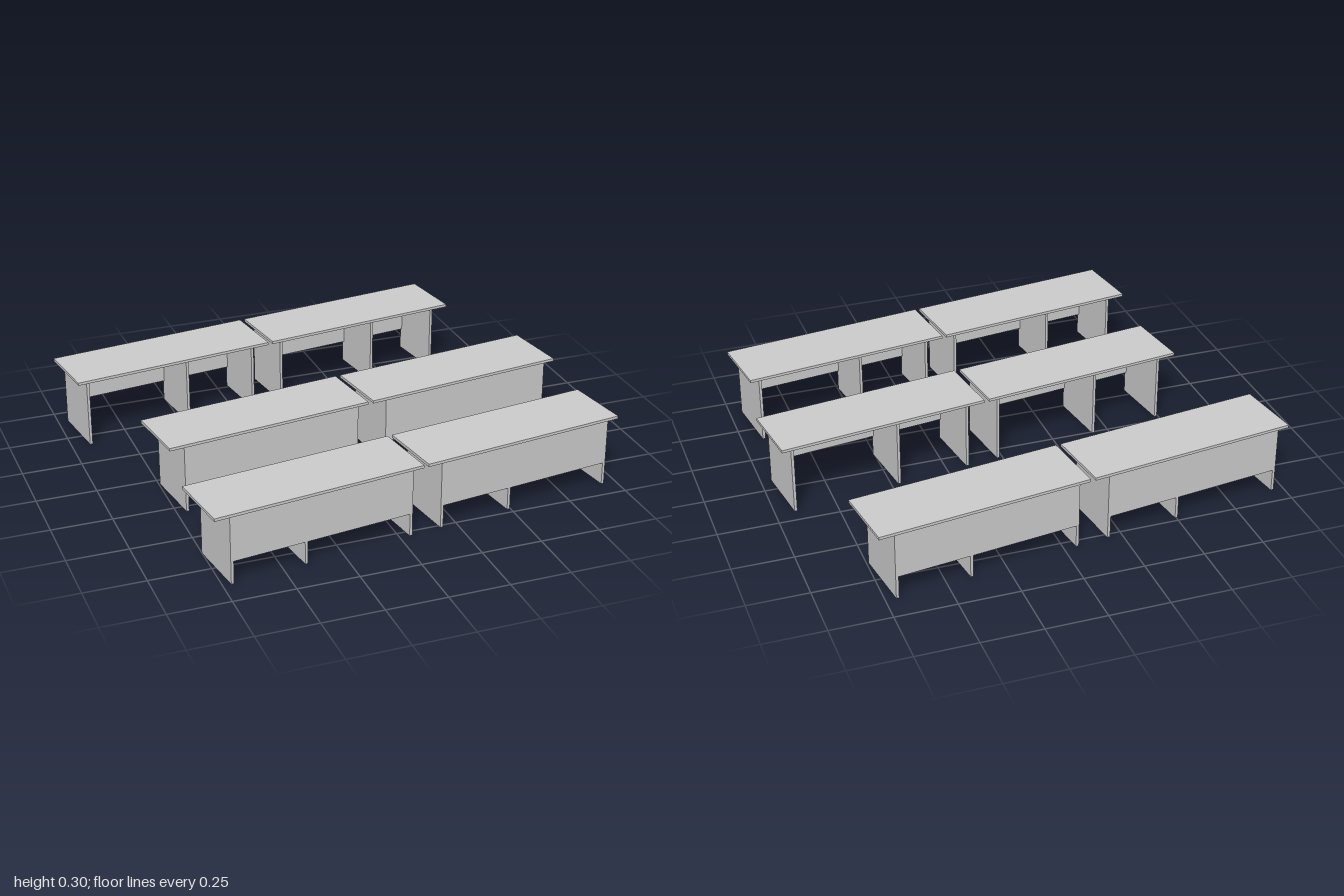
import * as THREE from 'three';

const HEIGHT = 0.3, T = 0.012;          // desk height, board thickness
const LENGTH = 0.883, DEPTH = 0.283;    // table top
const LEG_DEPTH = 0.26;
const LEG_X = [-0.369, -0.06, 0.395];   // left, middle and right leg boards
const ANGLE = THREE.MathUtils.degToRad(7.6);

const material = new THREE.MeshStandardMaterial({ color: 0xcccccc, flatShading: true });

function board(name, w, h, d, x, y, z) {
  const mesh = new THREE.Mesh(new THREE.BoxGeometry(w, h, d), material);
  mesh.name = name;
  mesh.position.set(x, y, z);
  return mesh;
}

// One desk: top, three board legs, and privacy panels between the legs on +z
function createDesk() {
  const desk = new THREE.Group();
  desk.name = 'desk';
  desk.add(board('tableTop', LENGTH, T, DEPTH, 0, HEIGHT - T / 2, 0));

  const legHeight = HEIGHT - T;
  for (const x of LEG_X) desk.add(board('leg', T, legHeight, LEG_DEPTH, x, legHeight / 2, 0));

  const panelBottom = 0.095, panelHeight = legHeight - panelBottom;
  for (let i = 0; i < LEG_X.length - 1; i++) {
    const width = LEG_X[i + 1] - LEG_X[i] - T;
    desk.add(board('privacyPanel', width, panelHeight, T,
      (LEG_X[i] + LEG_X[i + 1]) / 2, panelBottom + panelHeight / 2, (LEG_DEPTH - T) / 2));
  }
  return desk;
}

export function createModel() {
  const model = new THREE.Group();
  model.name = 'deskRows';

  // Three rows of two desks; the back row faces the other way
  const rows = [
    { name: 'backRow', turn: Math.PI, desks: [[-0.543, -0.593], [0.353, -0.712]] },
    { name: 'middleRow', turn: 0, desks: [[-0.356, 0.114], [0.542, -0.005]] },
    { name: 'frontRow', turn: 0, desks: [[-0.362, 0.706], [0.533, 0.587]] },
  ];
  for (const { name, turn, desks } of rows) {
    const row = new THREE.Group();
    row.name = name;
    for (const [x, z] of desks) {
      const desk = createDesk();
      desk.position.set(x, 0, z);
      desk.rotation.y = ANGLE + turn;
      row.add(desk);
    }
    model.add(row);
  }
  return model;
}
